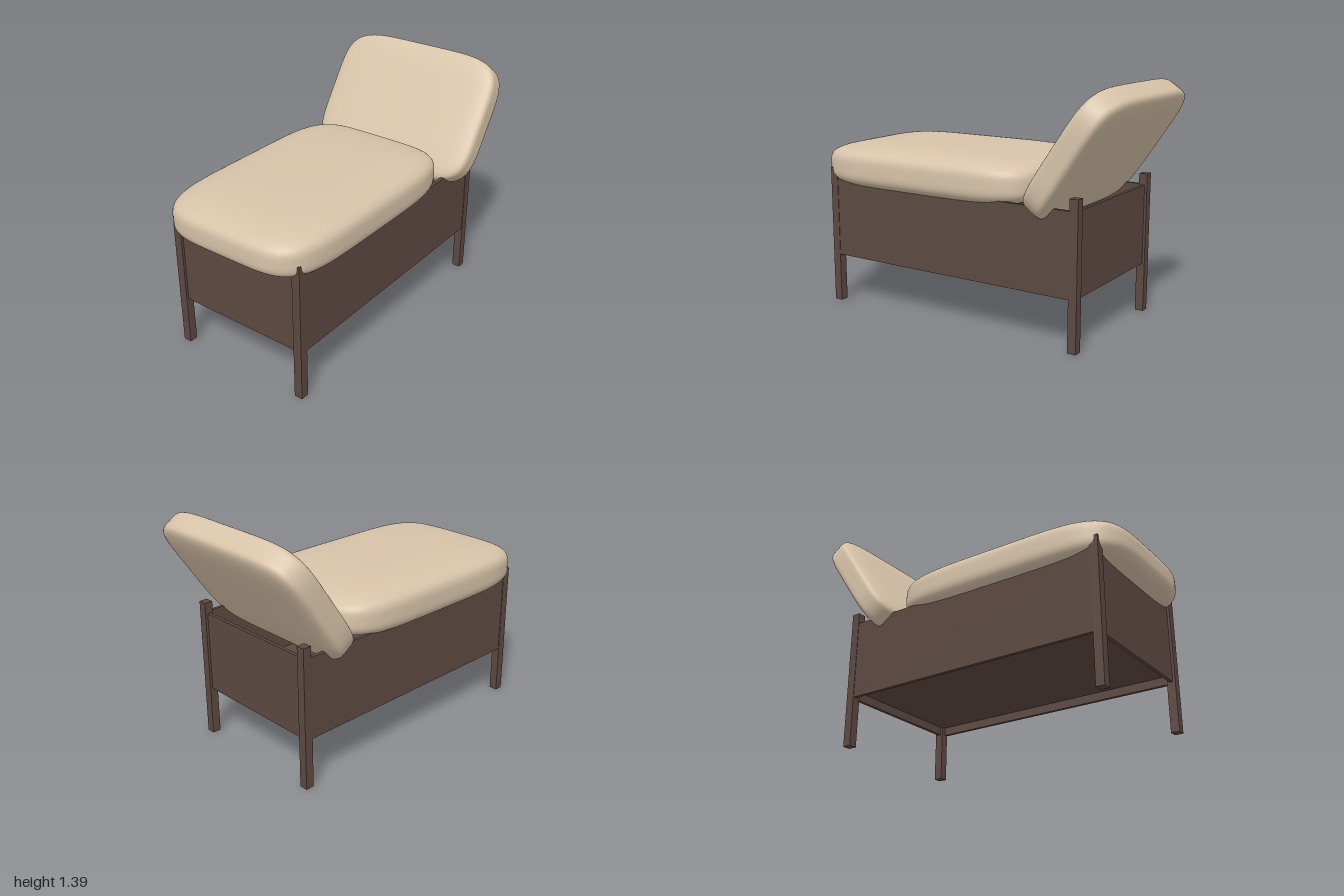
import * as THREE from 'three';
import { mergeVertices } from 'three/addons/utils/BufferGeometryUtils.js';

// Soft pillow: a cube projected onto a superellipsoid.
// plan = squareness seen flat on, edge = squareness of the side profile.
function pillowGeometry(hx, hy, hz, plan, edge) {
  let geo = new THREE.BoxGeometry(2, 2, 2, 28, 28, 28);
  geo.deleteAttribute('normal');
  geo.deleteAttribute('uv');
  geo = mergeVertices(geo);
  const pos = geo.attributes.position;
  const v = new THREE.Vector3();
  for (let i = 0; i < pos.count; i++) {
    v.fromBufferAttribute(pos, i);
    const flat = Math.abs(v.x) ** plan + Math.abs(v.z) ** plan;
    const f = (flat ** (edge / plan) + Math.abs(v.y) ** edge) ** (1 / edge);
    pos.setXYZ(i, (v.x / f) * hx, (v.y / f) * hy, (v.z / f) * hz);
  }
  geo.computeVertexNormals();
  return geo;
}

export function createModel() {
  const group = new THREE.Group();
  group.name = 'chaiseLounge';

  const fabric = new THREE.MeshStandardMaterial({ color: 0xd7c3a9 });
  fabric.name = 'beigeFabric';
  const wood = new THREE.MeshStandardMaterial({ color: 0x5d4942 });
  wood.name = 'darkWood';

  const add = (name, geo, mat, x, y, z) => {
    const mesh = new THREE.Mesh(geo, mat);
    mesh.name = name;
    mesh.position.set(x, y, z);
    group.add(mesh);
    return mesh;
  };
  const box = (name, w, h, d, x, y, z) =>
    add(name, new THREE.BoxGeometry(w, h, d), wood, x, y, z);

  // Corner posts
  const xLow = -0.878, xHigh = 0.753, zPost = 0.415, post = 0.05;
  for (const x of [xLow, xHigh])
    for (const z of [-zPost, zPost]) box('cornerPost', post, 0.826, post, x, 0.413, z);

  // Boxed base: long sides, ends and recessed floor
  const xMid = (xLow + xHigh) / 2, span = xHigh - xLow;
  const yMid = 0.525, panelH = 0.47, thick = 0.02;
  for (const s of [-1, 1]) {
    box('sidePanel', span - post, panelH, thick, xMid, yMid, s * 0.427);
    box('endPanel', thick, panelH, 2 * zPost - post, xMid + s * (span / 2), yMid, 0);
  }
  box('basePanel', span - thick, 0.02, 0.834, xMid, 0.35, 0);

  // Seat cushion
  add('seatCushion', pillowGeometry(0.728, 0.14, 0.49, 5, 3.8), fabric, -0.272, 0.84, 0);

  // Leaning backrest cushion
  const back = add('backrestCushion', pillowGeometry(0.398, 0.09, 0.547, 5, 6), fabric, 0.713, 1.029, 0);
  back.rotation.z = THREE.MathUtils.degToRad(56);

  return group;
}
